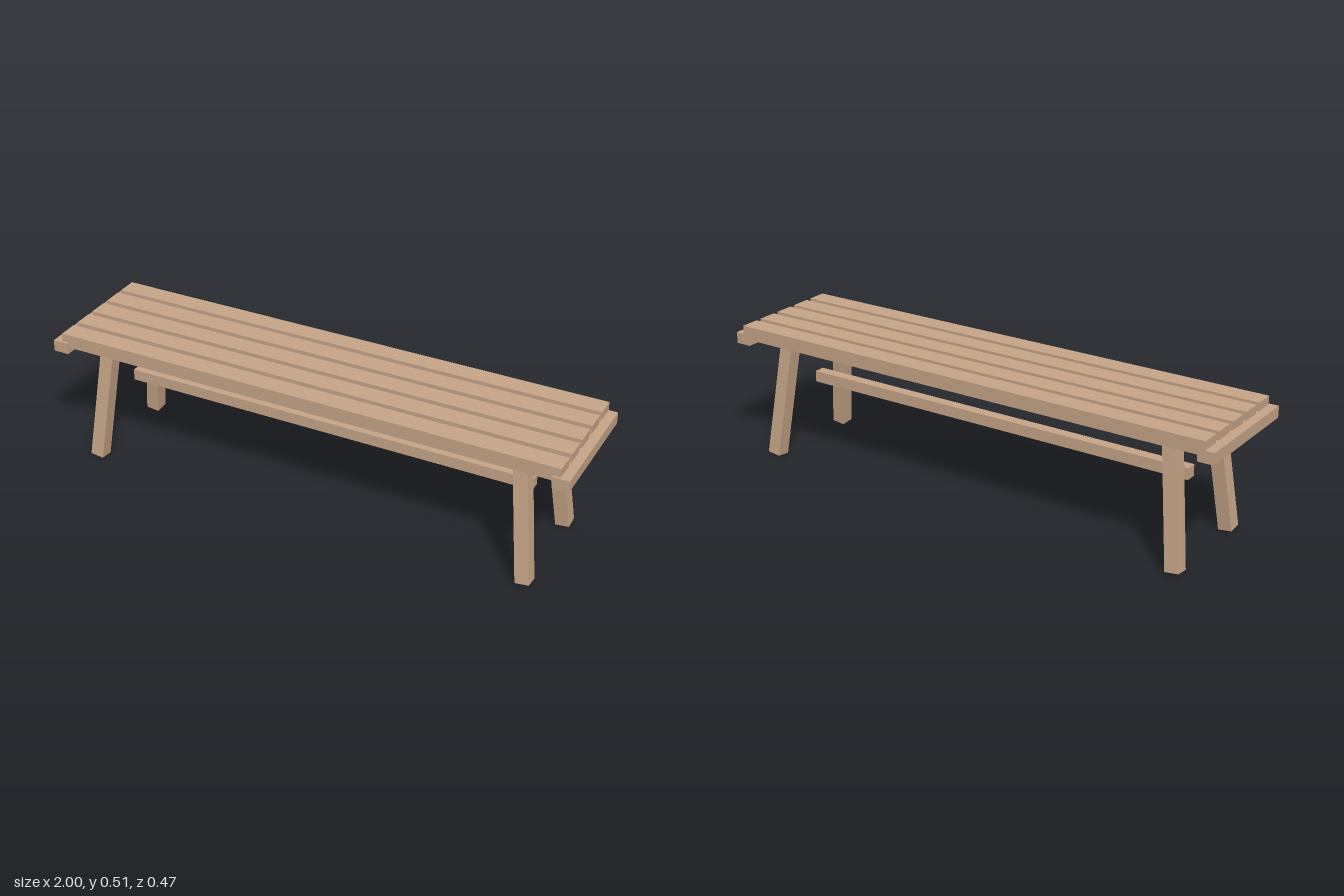
import * as THREE from 'three';

export function createModel() {
  const model = new THREE.Group();
  model.name = 'slattedBench';
  const wood = new THREE.MeshStandardMaterial({ color: 0xc8a688 });
  wood.name = 'paleWood';

  const beam = (name, size, position) => {
    const mesh = new THREE.Mesh(new THREE.BoxGeometry(...size), wood);
    mesh.name = name;
    mesh.position.set(...position);
    model.add(mesh);
    return mesh;
  };

  // Seat: five long slats, set slightly towards the back
  for (let i = 0; i < 5; i++) {
    beam('seatSlat', [1.932, 0.052, 0.075], [0, 0.486, -0.1985 + i * 0.097]);
  }

  // Cross rails that carry the slat ends
  for (const side of [-1, 1]) {
    beam('endRail', [0.06, 0.043, 0.472], [side * 0.97, 0.4585, 0]);
  }

  // Splayed square legs, turned from upright onto the line from foot to top
  const up = new THREE.Vector3(0, 1, 0);
  for (const sx of [-1, 1]) {
    for (const sz of [-1, 1]) {
      const foot = new THREE.Vector3(sx * 0.862, 0.006, sz * 0.195);
      const top = new THREE.Vector3(sx * 0.807, 0.465, sz * 0.15);
      const axis = top.clone().sub(foot);
      const middle = foot.clone().add(top).multiplyScalar(0.5);
      const leg = beam(sz > 0 ? 'frontLeg' : 'backLeg', [0.052, axis.length(), 0.0525], middle.toArray());
      leg.quaternion.setFromUnitVectors(up, axis.normalize());
    }
  }

  // Long stretcher below the seat
  beam('stretcher', [1.61, 0.043, 0.042], [0, 0.2755, 0]);

  return model;
}
